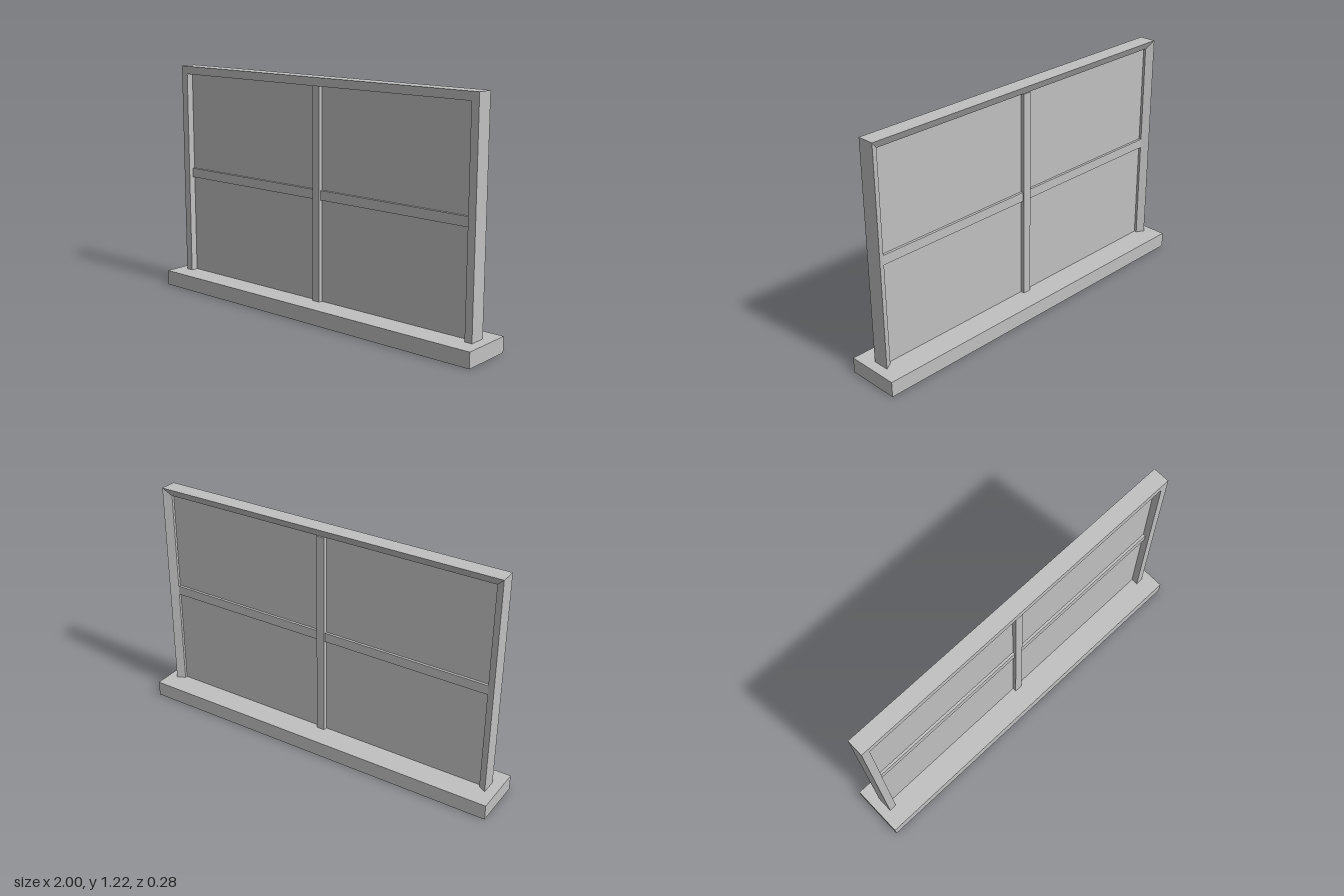
import * as THREE from 'three';

export function createModel() {
  const model = new THREE.Group();
  const grey = new THREE.MeshStandardMaterial({ color: 0xc0c0c0 });
  grey.name = 'plain grey';

  const SILL_TOP = 0.08, TOP = 1.215, HALF_W = 0.948;
  const INNER_X = 0.908, INNER_TOP = 1.173;

  // Axis-aligned box given by its x and y limits and half depth
  function box(name, x0, x1, y0, y1, halfDepth) {
    const geo = new THREE.BoxGeometry(x1 - x0, y1 - y0, halfDepth * 2);
    geo.translate((x0 + x1) / 2, (y0 + y1) / 2, 0);
    const mesh = new THREE.Mesh(geo, grey);
    mesh.name = name;
    model.add(mesh);
  }

  // Frame: one cross-section, bevelled at the back, swept up, across and down with mitred corners
  function frameGeometry() {
    // [inset from 0 = outer edge to 1 = inner edge, z]
    const section = [[0, 0.044], [0, -0.044], [1, -0.02], [1, 0.044]];
    const stations = [[-1, 0], [-1, 1], [1, 1], [1, 0]]; // side, at top?
    const point = ([side, top], [inset, z]) => [
      side * THREE.MathUtils.lerp(HALF_W, INNER_X, inset),
      top ? THREE.MathUtils.lerp(TOP, INNER_TOP, inset) : SILL_TOP,
      z,
    ];
    const positions = [];
    for (let s = 0; s < 3; s++) {
      for (let i = 0; i < section.length; i++) {
        const p = section[i], q = section[(i + 1) % section.length];
        const a = point(stations[s], p), b = point(stations[s], q);
        const c = point(stations[s + 1], q), d = point(stations[s + 1], p);
        positions.push(...a, ...d, ...c, ...a, ...c, ...b);
      }
    }
    const geo = new THREE.BufferGeometry();
    geo.setAttribute('position', new THREE.Float32BufferAttribute(positions, 3));
    geo.computeVertexNormals();
    return geo;
  }
  const frame = new THREE.Mesh(frameGeometry(), grey);
  frame.name = 'frame';
  model.add(frame);

  // Sill, panes and glazing bars
  box('sill', -1, 1, 0, SILL_TOP, 0.14);
  box('panes', -INNER_X, INNER_X, SILL_TOP, INNER_TOP, 0.007);
  box('mullion', -0.022, 0.022, SILL_TOP, INNER_TOP, 0.028);
  for (const side of [-1, 1]) {
    const xs = [side * 0.022, side * INNER_X].sort((a, b) => a - b);
    box(side > 0 ? 'leftTransom' : 'rightTransom', xs[0], xs[1], 0.606, 0.655, 0.02);
  }

  return model;
}
